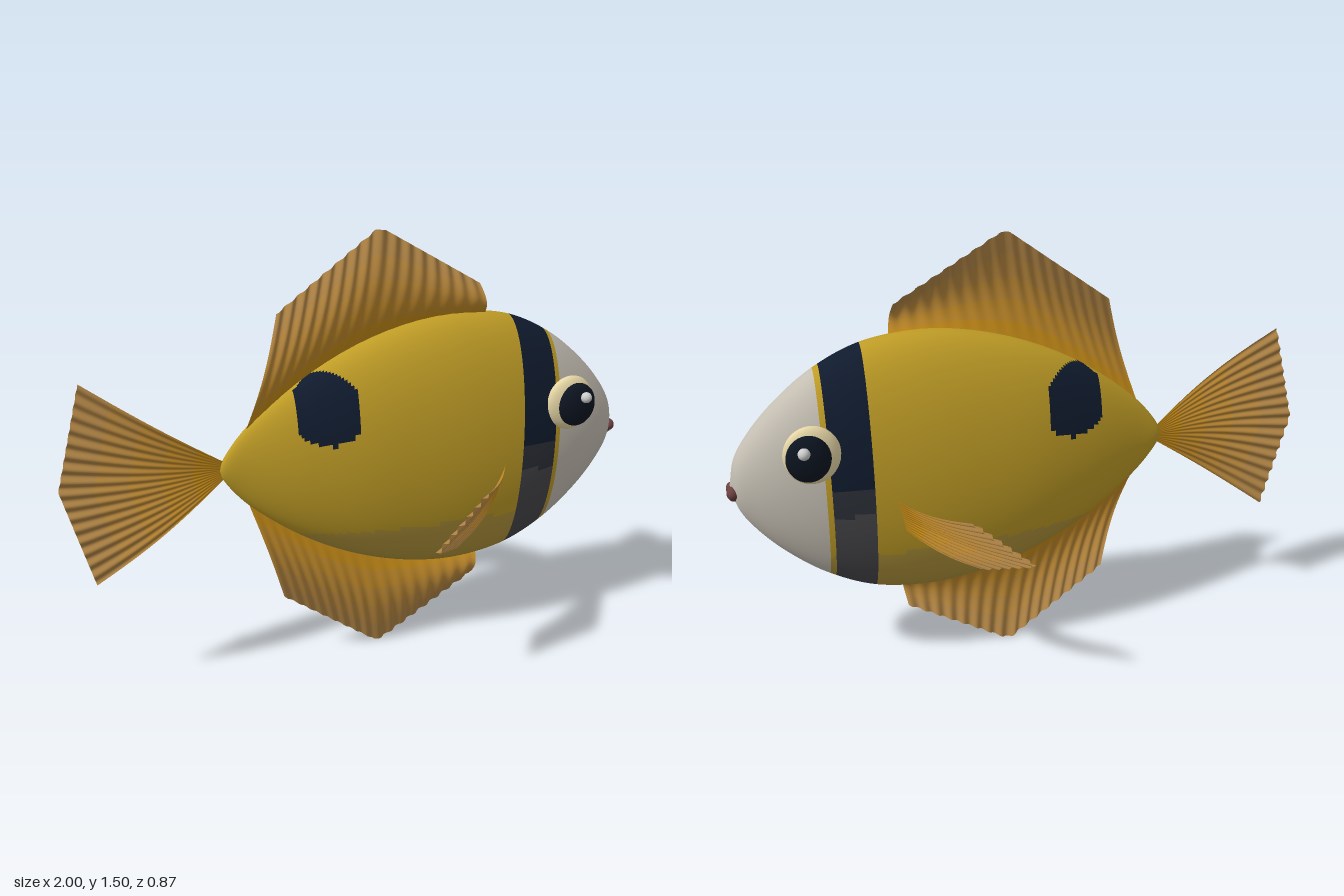
import * as THREE from 'three';

const MID = 0.755; // height of the body axis
const V = (x, y, z = 0) => new THREE.Vector3(x, y, z);
const smooth = (pts) => new THREE.CatmullRomCurve3(pts, false, 'centripetal');
const straight = (pts) => new THREE.CatmullRomCurve3(pts, false, 'catmullrom', 0);

// Surface from point(u, v); each cell joins the mesh named by paint(centre, u, v) -> [name, colour]
function surface(name, point, nu, nv, wrap, paint) {
  const pos = [], all = [], buckets = new Map();
  const cols = wrap ? nv : nv + 1;
  for (let i = 0; i <= nu; i++)
    for (let j = 0; j < cols; j++) pos.push(...point(i / nu, j / nv).toArray());
  for (let i = 0; i < nu; i++) {
    for (let j = 0; j < nv; j++) {
      const k = (j + 1) % cols;
      const a = i * cols + j, b = a + cols, c = i * cols + k, d = c + cols;
      const u = (i + 0.5) / nu, v = (j + 0.5) / nv;
      const [part, color] = paint(point(u, v), u, v);
      if (!buckets.has(part)) buckets.set(part, { color, index: [] });
      const quad = [a, c, b, b, c, d];
      buckets.get(part).index.push(...quad);
      all.push(...quad);
    }
  }
  const whole = new THREE.BufferGeometry();
  whole.setAttribute('position', new THREE.Float32BufferAttribute(pos, 3));
  whole.setIndex(all);
  whole.computeVertexNormals();
  const group = new THREE.Group();
  group.name = name;
  for (const [part, { color, index }] of buckets) {
    const geo = new THREE.BufferGeometry();
    geo.setAttribute('position', whole.attributes.position);
    geo.setAttribute('normal', whole.attributes.normal);
    geo.setIndex(index);
    const mat = new THREE.MeshStandardMaterial({ color });
    if (!wrap) mat.side = THREE.DoubleSide;
    const mesh = new THREE.Mesh(geo, mat);
    mesh.name = part;
    group.add(mesh);
  }
  return group;
}

// Thin fin between a base curve and an outer edge, bulging along dir with rippled rays
function fin(name, base, outer, dir, bulge, rays, ripple) {
  const inner = new THREE.Color(0xc48a18), tip = new THREE.Color(0xb08445);
  const point = (u, v) => {
    const p = base.getPointAt(u).lerp(outer.getPointAt(u), v);
    const wave = ripple * v * Math.sin(u * rays * Math.PI * 2);
    return p.addScaledVector(dir, bulge * Math.sin(Math.PI * v) + wave);
  };
  const bands = 5;
  return surface(name, point, rays * 8, 20, false, (p, u, v) => {
    const k = Math.floor(v * bands);
    return [name + 'Band' + (k + 1), inner.clone().lerp(tip, k / (bands - 1))];
  });
}

function ellipsoid(name, color, [x, y, z], [rx, ry, rz]) {
  const mesh = new THREE.Mesh(new THREE.SphereGeometry(1, 32, 24), new THREE.MeshStandardMaterial({ color }));
  mesh.name = name;
  mesh.position.set(x, y, z);
  mesh.scale.set(rx, ry, rz);
  return mesh;
}

// Body markings by position
function bodyPaint(p) {
  if (p.x > 0.7) return ['head', 0xc4beb2];
  if (p.x > 0.545 && p.x < 0.685) {
    if (p.y > 0.76) return ['bandUpper', 0x101b2e];
    return p.y > 0.66 ? ['bandMiddle', 0x2c3038] : ['bandLower', 0x46464a];
  }
  const s = (p.x + 0.235) / 0.195; // 0..1 across the flank patch
  if (s > 0 && s < 1) {
    const low = 0.87 - 0.04 * Math.sin(Math.PI * s);
    const high = 1.01 + 0.055 * Math.sin(Math.PI * s);
    if (p.y > low && p.y < high) return ['flankPatch', 0x101b2e];
  }
  return p.y > 0.5 ? ['flanks', 0xbf9c26] : ['belly', 0xb0933a];
}

export function createModel() {
  const fish = new THREE.Group();
  fish.name = 'fish';

  // Body: elliptical sections, each point is (x, half height, half width)
  const profile = smooth([
    V(-0.487, 0, 0), V(-0.478, 0.03, 0.012), V(-0.4, 0.13, 0.038), V(-0.2, 0.285, 0.1),
    V(0, 0.385, 0.143), V(0.2, 0.442, 0.163), V(0.37, 0.457, 0.168), V(0.55, 0.432, 0.16),
    V(0.7, 0.362, 0.143), V(0.82, 0.27, 0.115), V(0.91, 0.175, 0.08), V(0.965, 0.09, 0.045), V(0.987, 0, 0),
  ]);
  const skin = (u, v) => {
    const s = profile.getPointAt(u), a = v * Math.PI * 2;
    return V(s.x, MID + Math.max(0, s.y) * Math.cos(a), Math.max(0, s.z) * Math.sin(a));
  };
  fish.add(surface('body', skin, 180, 120, true, bodyPaint));

  // Back fin and its mirror below
  const Z = V(0, 0, 1);
  for (const [name, side] of [['dorsalFin', 1], ['analFin', -1]]) {
    const at = ([x, h]) => V(x, MID + side * h);
    const base = smooth([[-0.4, 0.115], [-0.2, 0.265], [0, 0.365], [0.2, 0.42], [0.455, 0.435]].map(at));
    const edge = straight([[-0.28, 0.505], [0.06, 0.75], [0.09, 0.747], [0.435, 0.548]].map(at));
    fish.add(fin(name, base, edge, Z, 0.036, 16, 0.006));
  }

  // Tail fin
  const root = straight([V(-0.472, 0.785), V(-0.478, 0.755), V(-0.472, 0.725)]);
  const tailEdge = straight([V(-0.91, 1.1), V(-1, 0.757), V(-0.91, 0.415)]);
  fish.add(fin('tailFin', root, tailEdge, Z, 0.034, 16, 0.006));

  for (const [label, m] of [['left', 1], ['right', -1]]) {
    // Side fins; the model faces +z, so m = 1 is the +z flank
    const base = straight([V(0.48, 0.7, 0.16 * m), V(0.455, 0.59, 0.155 * m)]);
    const edge = straight([V(0.29, 0.715, 0.4 * m), V(0.1, 0.55, 0.43 * m), V(0.24, 0.485, 0.29 * m)]);
    const dir = V(0.55, -0.55, 0.6 * m).normalize();
    fish.add(fin(m > 0 ? 'frontSideFin' : 'rearSideFin', base, edge, dir, 0.015, 12, 0.007));

    // Eyes
    const eye = new THREE.Group();
    eye.name = m > 0 ? 'frontEye' : 'rearEye';
    eye.add(ellipsoid('eyeWhite', 0xe6d6a6, [0.732, 0.887, 0.138 * m], [0.09, 0.097, 0.034]));
    eye.add(ellipsoid('pupil', 0x0c1420, [0.745, 0.886, 0.163 * m], [0.07, 0.077, 0.033]));
    eye.add(ellipsoid('eyeGlint', 0xcccccc, [0.76, 0.919, 0.197 * m], [0.019, 0.019, 0.019]));
    fish.add(eye);

    // Upper lip half
    fish.add(ellipsoid(m > 0 ? 'upperLipFront' : 'upperLipRear', 0x6a4040, [0.98, 0.734, 0.019 * m], [0.02, 0.022, 0.024]));
  }
  fish.add(ellipsoid('lowerLip', 0x6a4040, [0.977, 0.718, 0], [0.02, 0.018, 0.03]));

  return fish;
}
